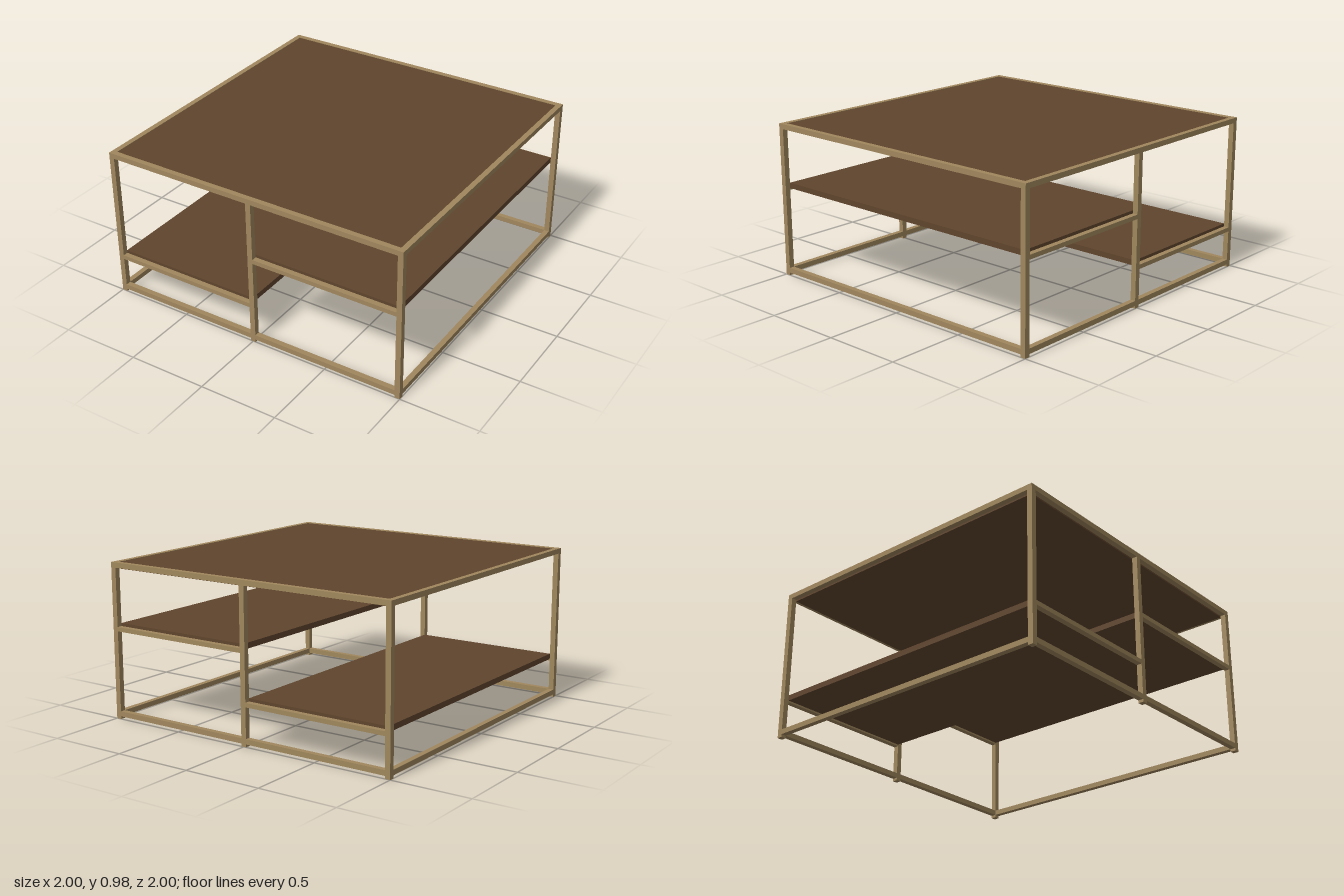
import * as THREE from 'three';

const brass = new THREE.MeshStandardMaterial({ color: 0xa0875d });
brass.name = 'brass';
const walnut = new THREE.MeshStandardMaterial({ color: 0x60452d });
walnut.name = 'walnut';

const T = 0.034;          // tube thickness
const TOP = 0.978;        // overall height
const IN = 1 - T;         // inner face of the frame

export function createModel() {
  const table = new THREE.Group();
  table.name = 'coffeeTable';

  // box given by its lower and upper limits on each axis
  const box = (name, material, [x0, x1], [y0, y1], [z0, z1]) => {
    const mesh = new THREE.Mesh(new THREE.BoxGeometry(x1 - x0, y1 - y0, z1 - z0), material);
    mesh.position.set((x0 + x1) / 2, (y0 + y1) / 2, (z0 + z1) / 2);
    mesh.name = name;
    table.add(mesh);
  };
  const edge = (s) => (s > 0 ? [IN, 1] : [-1, -IN]);

  const topRail = [TOP - 0.032, TOP];
  const bottomRail = [0.017, 0.049];
  const shelves = [
    { name: 'lowShelf', x: [-IN, -T / 2], top: 0.285 },
    { name: 'highShelf', x: [T / 2, IN], top: 0.6 },
  ];

  for (const s of [-1, 1]) {
    // posts at the corners and the middle of front and back
    for (const x of [edge(-1), [-T / 2, T / 2], edge(1)]) {
      box('post', brass, x, [0, topRail[0]], edge(s));
    }
    // top frame
    box('topRail', brass, [-1, 1], topRail, edge(s));
    box('topSideRail', brass, edge(s), topRail, [-IN, IN]);
    // bottom frame, cut around the posts
    box('bottomRail', brass, [-IN, -T / 2], bottomRail, edge(s));
    box('bottomRail', brass, [T / 2, IN], bottomRail, edge(s));
    box('bottomSideRail', brass, edge(s), bottomRail, [-IN, IN]);
    // shelf supports
    for (const { name, x, top } of shelves) {
      box(name + 'Rail', brass, x, [top - 0.046, top - 0.019], edge(s));
    }
  }

  // wooden panels
  box('topPanel', walnut, [-IN, IN], [0.936, TOP - 0.003], [-IN, IN]);
  for (const { name, x, top } of shelves) {
    box(name, walnut, x, [top - 0.035, top], [-IN, IN]);
  }
  return table;
}
